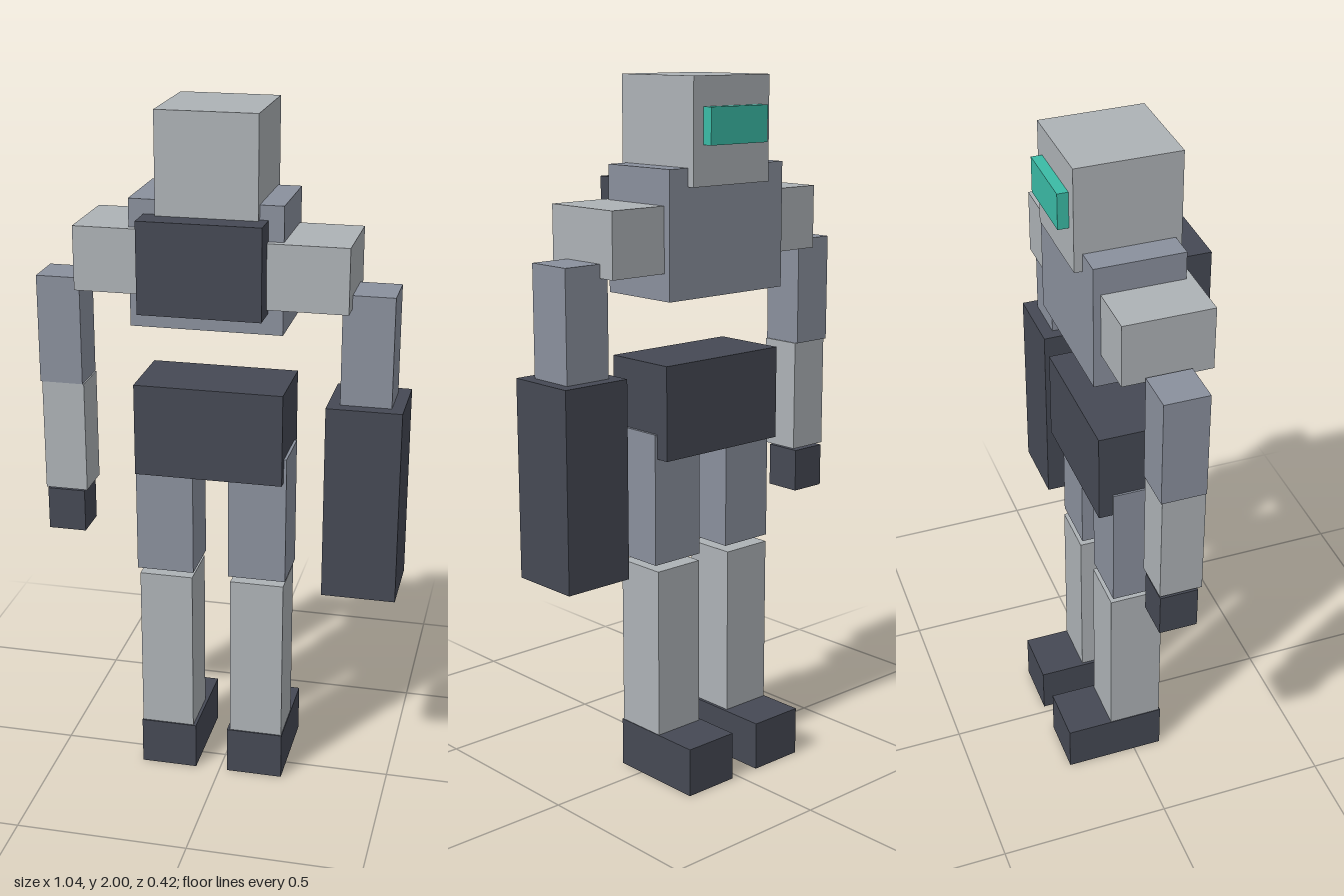
import * as THREE from 'three';

const flat = (name, color) => {
  const m = new THREE.MeshStandardMaterial({ color });
  m.name = name;
  return m;
};

export function createModel() {
  const light = flat('light grey', 0xadb2b6);
  const mid = flat('blue grey', 0x8a909d);
  const dark = flat('charcoal', 0x454954);
  const teal = flat('teal', 0x3bbba6);

  const model = new THREE.Group();
  model.name = 'blockRobot';

  const addGroup = (name) => {
    const g = new THREE.Group();
    g.name = name;
    model.add(g);
    return g;
  };

  // Box given by its [min, max] range on each axis
  const box = (parent, name, material, [x0, x1], [y0, y1], [z0, z1]) => {
    const mesh = new THREE.Mesh(new THREE.BoxGeometry(x1 - x0, y1 - y0, z1 - z0), material);
    mesh.position.set((x0 + x1) / 2, (y0 + y1) / 2, (z0 + z1) / 2);
    mesh.name = name;
    parent.add(mesh);
  };

  // Head with visor
  const head = addGroup('head');
  box(head, 'skull', light, [-0.16, 0.12], [1.71, 2], [-0.148, 0.142]);
  box(head, 'visor', teal, [-0.125, 0.085], [1.82, 1.92], [-0.178, -0.14]);

  // Body
  const body = addGroup('body');
  box(body, 'torso', mid, [-0.238, 0.186], [1.407, 1.76], [-0.125, 0.125]);
  box(body, 'chestPlate', dark, [-0.196, 0.144], [1.465, 1.72], [0.12, 0.21]);
  box(body, 'pelvis', dark, [-0.238, 0.186], [0.963, 1.23], [-0.112, 0.113]);

  // Right arm with hand
  const rightArm = addGroup('rightArm');
  box(rightArm, 'shoulder', light, [-0.39, -0.19], [1.503, 1.682], [-0.105, 0.145]);
  box(rightArm, 'upperArm', mid, [-0.52, -0.396], [1.21, 1.52], [-0.043, 0.083]);
  box(rightArm, 'forearm', light, [-0.515, -0.392], [0.886, 1.21], [-0.038, 0.083]);
  box(rightArm, 'hand', dark, [-0.514, -0.404], [0.752, 0.878], [-0.036, 0.073]);

  // Left arm with its heavy block forearm
  const leftArm = addGroup('leftArm');
  box(leftArm, 'shoulder', light, [0.14, 0.366], [1.482, 1.663], [-0.104, 0.146]);
  box(leftArm, 'upperArm', mid, [0.34, 0.482], [1.2, 1.52], [-0.052, 0.087]);
  box(leftArm, 'heavyForearm', dark, [0.306, 0.516], [0.646, 1.209], [-0.088, 0.124]);

  // Legs, placed either side of the body's middle line
  for (const side of [-1, 1]) {
    const leg = addGroup(side < 0 ? 'rightLeg' : 'leftLeg');
    const span = (inner, outer) => [inner, outer].map((d) => -0.025 + side * d).sort((a, b) => a - b);
    box(leg, 'thigh', mid, span(0.052, 0.219), [0.655, 1.033], [-0.072, 0.085]);
    box(leg, 'shin', light, span(0.057, 0.213), [0.135, 0.636], [-0.076, 0.08]);
    box(leg, 'foot', dark, span(0.048, 0.215), [0, 0.142], [-0.21, 0.084]);
  }

  return model;
}
